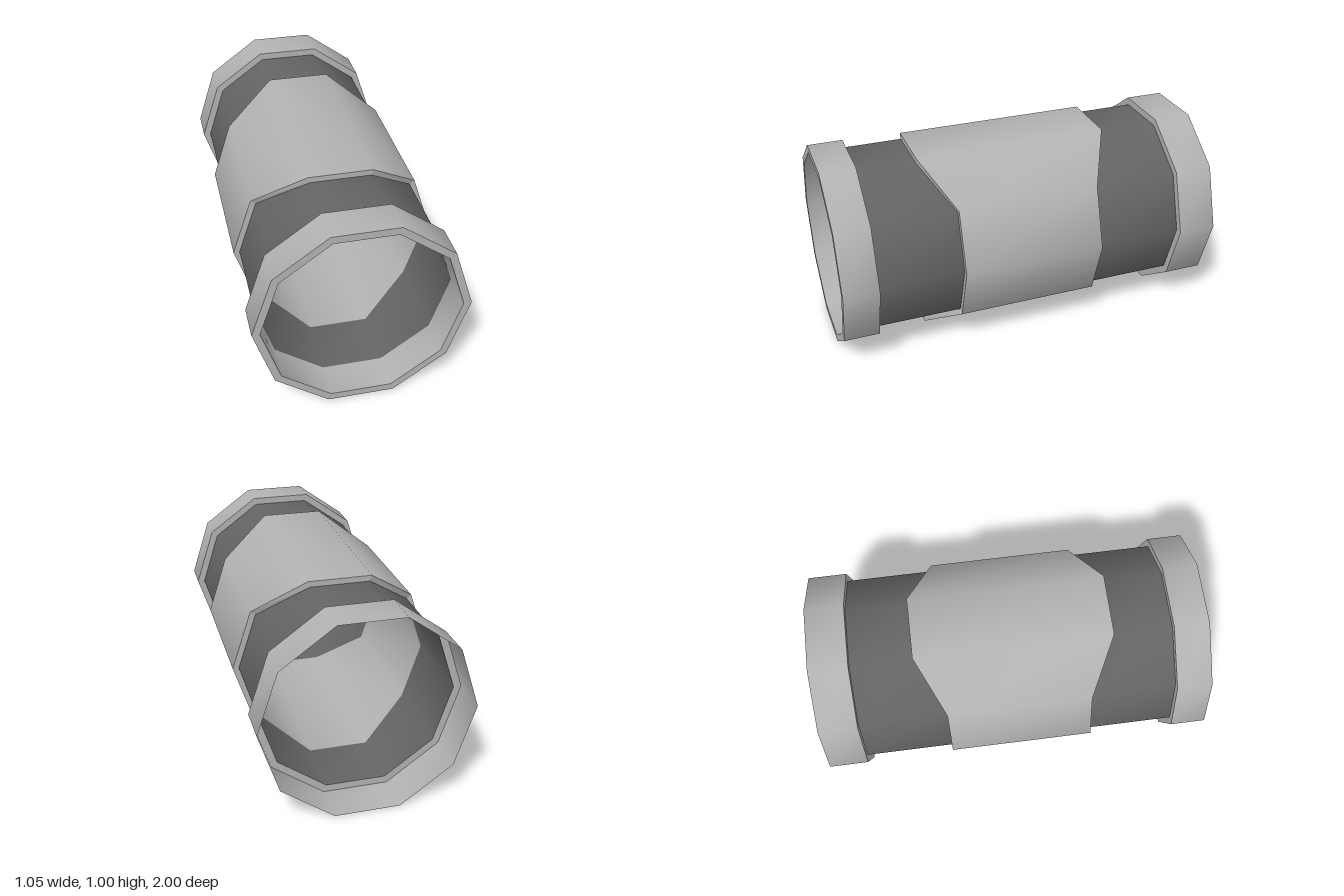
import * as THREE from 'three';

const SIDES = 10, CENTER_Y = 0.5;
const TUBE_R = 0.487, SLEEVE_R = 0.518, COLLAR_R = 0.526;

// A ring has a radius and a z, which may vary with the corner's angle.
function ringPoints({ r, z }) {
  const points = [];
  for (let i = 0; i < SIDES; i++) {
    const a = (i / SIDES) * Math.PI * 2;
    const x = Math.cos(a), y = Math.sin(a);
    points.push(x * r, y * r + CENTER_Y, typeof z === 'function' ? z(y) : z);
  }
  return points;
}

// Closed band of quads between two rings: smooth for walls, flat for end faces.
function band(name, from, to, material, flat = false) {
  const index = [];
  for (let i = 0; i < SIDES; i++) {
    const j = (i + 1) % SIDES;
    index.push(i, j, i + SIDES, j, j + SIDES, i + SIDES);
  }
  let geometry = new THREE.BufferGeometry();
  geometry.setAttribute('position',
    new THREE.Float32BufferAttribute([...ringPoints(from), ...ringPoints(to)], 3));
  geometry.setIndex(index);
  if (flat) geometry = geometry.toNonIndexed();
  geometry.computeVertexNormals();
  const mesh = new THREE.Mesh(geometry, material);
  mesh.name = name;
  return mesh;
}

export function createModel() {
  const light = new THREE.MeshStandardMaterial({ color: 0xb2b2b2, side: THREE.DoubleSide });
  light.name = 'light grey';
  const dark = new THREE.MeshStandardMaterial({ color: 0x646464, side: THREE.DoubleSide });
  dark.name = 'dark grey';

  // The sleeve reaches further along its top and bottom faces.
  const sleeveFront = (y) => (Math.abs(y) > 0.9 ? 0.52 : 0.385);
  const sleeveBack = (y) => (Math.abs(y) > 0.9 ? -0.485 : -0.35);

  const model = new THREE.Group();
  model.name = 'corridor';

  // Front collar, closed at both ends with an inner wall
  const frontCollar = new THREE.Group();
  frontCollar.name = 'frontCollar';
  frontCollar.add(
    band('frontCollarOuter', { r: COLLAR_R, z: 0.82 }, { r: COLLAR_R, z: 1 }, light),
    band('frontCollarInner', { r: TUBE_R, z: 1 }, { r: TUBE_R, z: 0.82 }, light),
    band('frontCollarRim', { r: COLLAR_R, z: 1 }, { r: TUBE_R, z: 1 }, light, true),
    band('frontCollarStep', { r: TUBE_R, z: 0.82 }, { r: COLLAR_R, z: 0.82 }, light, true),
  );

  // Back collar, a thin open socket
  const backCollar = new THREE.Group();
  backCollar.name = 'backCollar';
  backCollar.add(
    band('backCollarOuter', { r: COLLAR_R, z: -1 }, { r: COLLAR_R, z: -0.8 }, light),
    band('backCollarStep', { r: COLLAR_R, z: -0.8 }, { r: TUBE_R, z: -0.8 }, light, true),
  );

  // Middle sleeve with chevron ends
  const sleeve = new THREE.Group();
  sleeve.name = 'sleeve';
  sleeve.add(
    band('sleeveOuter', { r: SLEEVE_R, z: sleeveBack }, { r: SLEEVE_R, z: sleeveFront }, light),
    band('sleeveInner', { r: TUBE_R, z: sleeveFront }, { r: TUBE_R, z: sleeveBack }, light),
    band('sleeveFrontEdge', { r: SLEEVE_R, z: sleeveFront }, { r: TUBE_R, z: sleeveFront }, light, true),
    band('sleeveBackEdge', { r: TUBE_R, z: sleeveBack }, { r: SLEEVE_R, z: sleeveBack }, light, true),
  );

  // Dark tube sections joining the sleeve to the collars
  model.add(
    frontCollar, backCollar, sleeve,
    band('frontTube', { r: TUBE_R, z: sleeveFront }, { r: TUBE_R, z: 0.82 }, dark),
    band('backTube', { r: TUBE_R, z: -0.8 }, { r: TUBE_R, z: sleeveBack }, dark),
  );
  return model;
}
